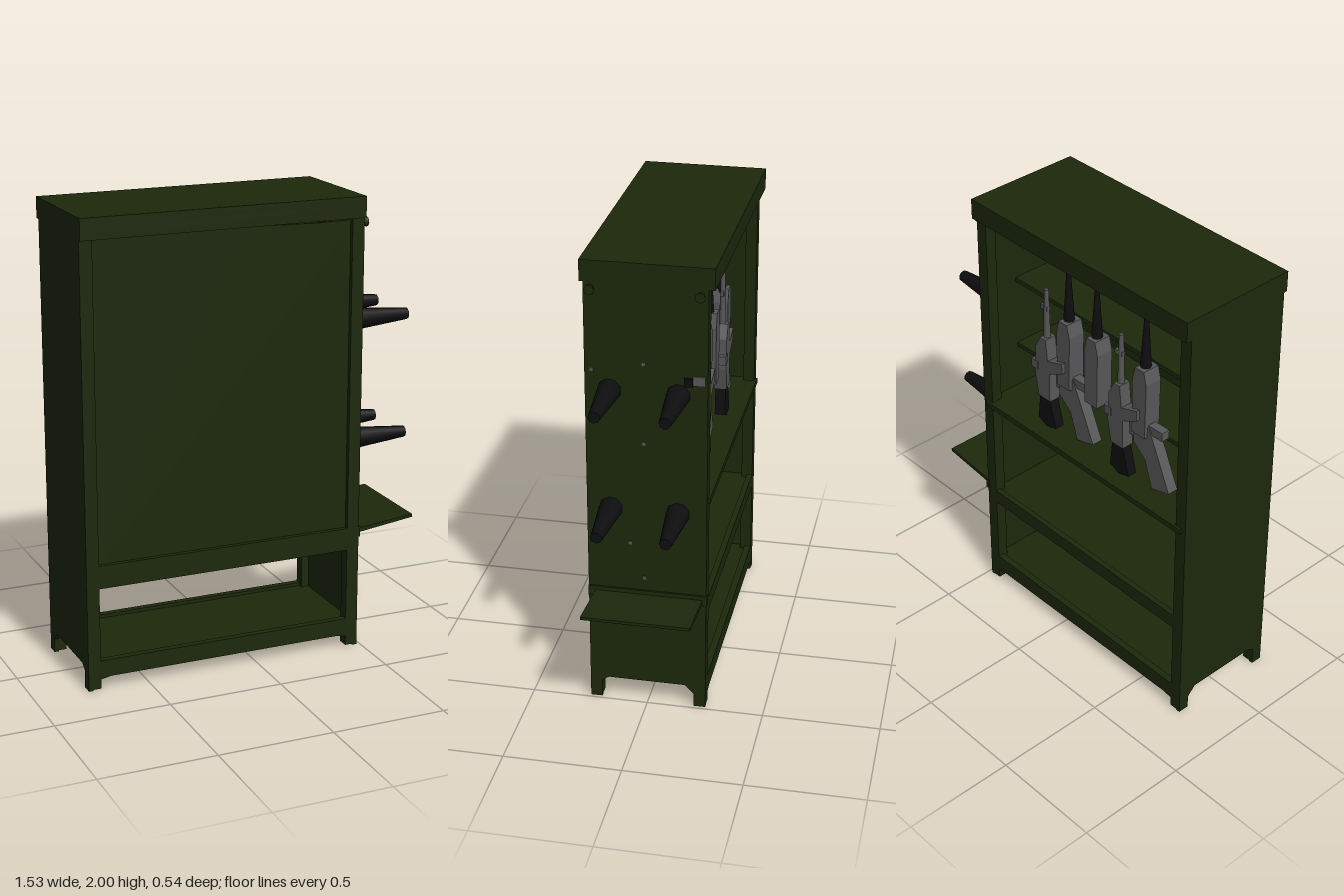
import * as THREE from 'three';

const flat = (name, color) => {
  const m = new THREE.MeshStandardMaterial({ color });
  m.name = name;
  return m;
};

export function createModel() {
  const root = new THREE.Group();
  root.name = 'storageRack';
  const green = flat('oliveGreen', 0x1d280b);
  const black = flat('black', 0x0e0e10);
  const grey = flat('gunGrey', 0x58585a);

  const add = (name, geo, mat, parent = root) => {
    const mesh = new THREE.Mesh(geo, mat);
    mesh.name = name;
    parent.add(mesh);
    return mesh;
  };
  // Box given by its limits on each axis
  const box = (name, x0, x1, y0, y1, z0, z1, mat = green, parent = root) => {
    const m = add(name, new THREE.BoxGeometry(x1 - x0, y1 - y0, z1 - z0), mat, parent);
    m.position.set((x0 + x1) / 2, (y0 + y1) / 2, (z0 + z1) / 2);
    return m;
  };
  const plate = (points, depth) => {
    const shape = new THREE.Shape(points.map(([x, y]) => new THREE.Vector2(x, y)));
    return new THREE.ExtrudeGeometry(shape, { depth, bevelEnabled: false });
  };

  const L = -0.765, R = 0.485, P = 0.055;

  // Side panels with an arched foot cutout
  const side = [[-0.25, 0], [-0.2, 0], [-0.2, 0.06], [-0.16, 0.1], [0.17, 0.1], [0.2, 0.08],
    [0.2, 0], [0.25, 0], [0.25, 1.93], [-0.25, 1.93]];
  for (const x of [R, L + 0.02]) {
    const geo = plate(side, 0.02);
    geo.rotateY(-Math.PI / 2);
    add('sidePanel', geo, green).position.x = x;
  }

  // Corner posts
  for (const x of [L, R - P])
    for (const z of [-0.25, 0.2]) box('cornerPost', x, x + P, 0.005, 1.93, z, z + 0.05);

  // Hollow top cap
  box('topPanel', L, R, 1.965, 2, -0.275, 0.265);
  box('capFront', L, R, 1.91, 1.97, 0.235, 0.265);
  box('capBack', L, R, 1.91, 1.97, -0.275, -0.245);
  for (const x of [L, R - 0.03]) box('capSide', x, x + 0.03, 1.91, 1.97, -0.265, 0.255);

  // Recessed front panel, with a thin sagging gap under the cap
  const panel = [[L + 0.03, 0.5], [R - 0.03, 0.5], [R - 0.03, 1.9], [0.3, 1.897], [-0.05, 1.905],
    [-0.4, 1.915], [L + 0.03, 1.92]];
  add('frontPanel', plate(panel, 0.02), green).position.z = 0.21;

  // Rails
  box('frontRail', L + 0.02, R - 0.02, 0.45, 0.55, 0.21, 0.25);
  box('backRail', L + 0.02, R - 0.02, 0.45, 0.515, -0.25, -0.225);
  const foot = [[L + 0.02, 0.04], [L + 0.1, 0.055], [R - 0.1, 0.055], [R - 0.02, 0.04],
    [R - 0.02, 0.13], [L + 0.02, 0.13]];
  for (const z of [-0.25, 0.22]) add('footRail', plate(foot, 0.03), green).position.z = z;

  // Full-depth and narrow shelves
  box('bottomShelf', L + 0.02, R - 0.02, 0.09, 0.115, -0.225, 0.225);
  box('lowerShelf', L + 0.02, R - 0.02, 0.475, 0.5, -0.23, 0.22);
  box('middleShelf', L + 0.02, R - 0.02, 0.975, 1.0, -0.26, 0.22);
  for (const y of [1.22, 1.55]) box('rackShelf', L + 0.02, R - 0.02, y - 0.02, y, -0.07, 0.22);

  // Sloping side tray with its hinge strip
  const tray = plate([[R - 0.01, 0.51], [0.765, 0.547], [0.765, 0.56], [R - 0.01, 0.53]], 0.455);
  add('sideTray', tray, green).position.z = -0.235;
  box('trayHinge', R - 0.01, R + 0.008, 0.505, 0.55, -0.255, 0.25);

  // Tapered pegs
  for (const y of [1.455, 0.925])
    for (const z of [-0.13, 0.15]) {
      const peg = add('peg', new THREE.CylinderGeometry(0.025, 0.05, 0.265, 9), black);
      peg.rotation.z = -Math.PI / 2;
      peg.position.set(R + 0.13, y, z);
    }

  // Small hooks, latch and rivets
  for (const z of [-0.22, 0.22]) {
    const hook = add('hook', new THREE.CylinderGeometry(0.022, 0.015, 0.03, 8), green);
    hook.rotation.z = -Math.PI / 2;
    hook.position.set(R + 0.01, 1.885, z);
  }
  box('latch', R - 0.01, R + 0.008, 1.505, 1.545, -0.24, -0.19, grey);
  box('latchHandle', R - 0.01, R + 0.012, 1.5, 1.535, -0.19, -0.155, black);
  for (const [y, z] of [[1.54, 0.22], [1.58, 0.01], [1.23, 0.01], [0.77, 0.07], [0.77, -0.06], [0.61, 0.01]])
    box('rivet', R, R + 0.004, y - 0.007, y + 0.007, z - 0.007, z + 0.007, grey);

  const gun = (name, x, z) => {
    const g = new THREE.Group();
    g.name = name;
    g.position.set(x, 0.05, z);
    root.add(g);
    return g;
  };

  // Short carbine: grey barrel and body, black butt
  const carbine = (x) => {
    const g = gun('carbine', x, -0.17);
    const barrel = add('barrel', new THREE.CylinderGeometry(0.01, 0.016, 0.28, 8), grey, g);
    barrel.position.set(0, 1.49, 0);
    box('frontSight', -0.012, 0.03, 1.53, 1.55, -0.008, 0.008, grey, g);
    const body = [[-0.04, 1.1], [0.03, 1.1], [0.05, 1.2], [0.045, 1.34], [0.015, 1.4],
      [-0.02, 1.4], [-0.03, 1.3], [-0.12, 1.33], [-0.12, 1.28], [-0.04, 1.24]];
    add('receiver', plate(body, 0.055), grey, g).position.z = -0.027;
    box('foreGrip', 0.03, 0.07, 1.23, 1.27, -0.03, 0.03, grey, g);
    const butt = [[-0.03, 1.12], [-0.07, 0.97], [-0.01, 0.957], [0.04, 0.98], [0.025, 1.12]];
    add('butt', plate(butt, 0.045), black, g).position.z = -0.022;
  };

  // Long rifle: black muzzle, grey handguard, optional angled stock
  const rifle = (x, stocked) => {
    const g = gun('rifle', x, -0.14);
    const muzzle = add('muzzle', new THREE.CylinderGeometry(0.007, 0.025, 0.28, 8), black, g);
    muzzle.position.set(0, 1.64, 0);
    const guard = [[-0.04, 1.2], [0.035, 1.2], [0.035, 1.46], [0.02, 1.52], [-0.03, 1.52], [-0.045, 1.46]];
    add('handguard', plate(guard, 0.08), grey, g).position.z = -0.04;
    if (!stocked) return;
    const stock = [[-0.05, 1.25], [-0.11, 1.12], [-0.17, 0.985], [-0.07, 0.957], [-0.03, 1.08],
      [0.04, 1.14], [0.035, 1.25]];
    add('stock', plate(stock, 0.05), grey, g).position.z = -0.025;
    box('sideHandle', -0.12, -0.03, 1.22, 1.26, -0.02, 0.02, grey, g);
    box('magazine', 0.03, 0.08, 1.16, 1.23, -0.018, 0.018, grey, g);
  };

  carbine(0.15);
  carbine(-0.3);
  rifle(0.045, true);
  rifle(-0.41, true);
  rifle(-0.125, false);
  return root;
}
